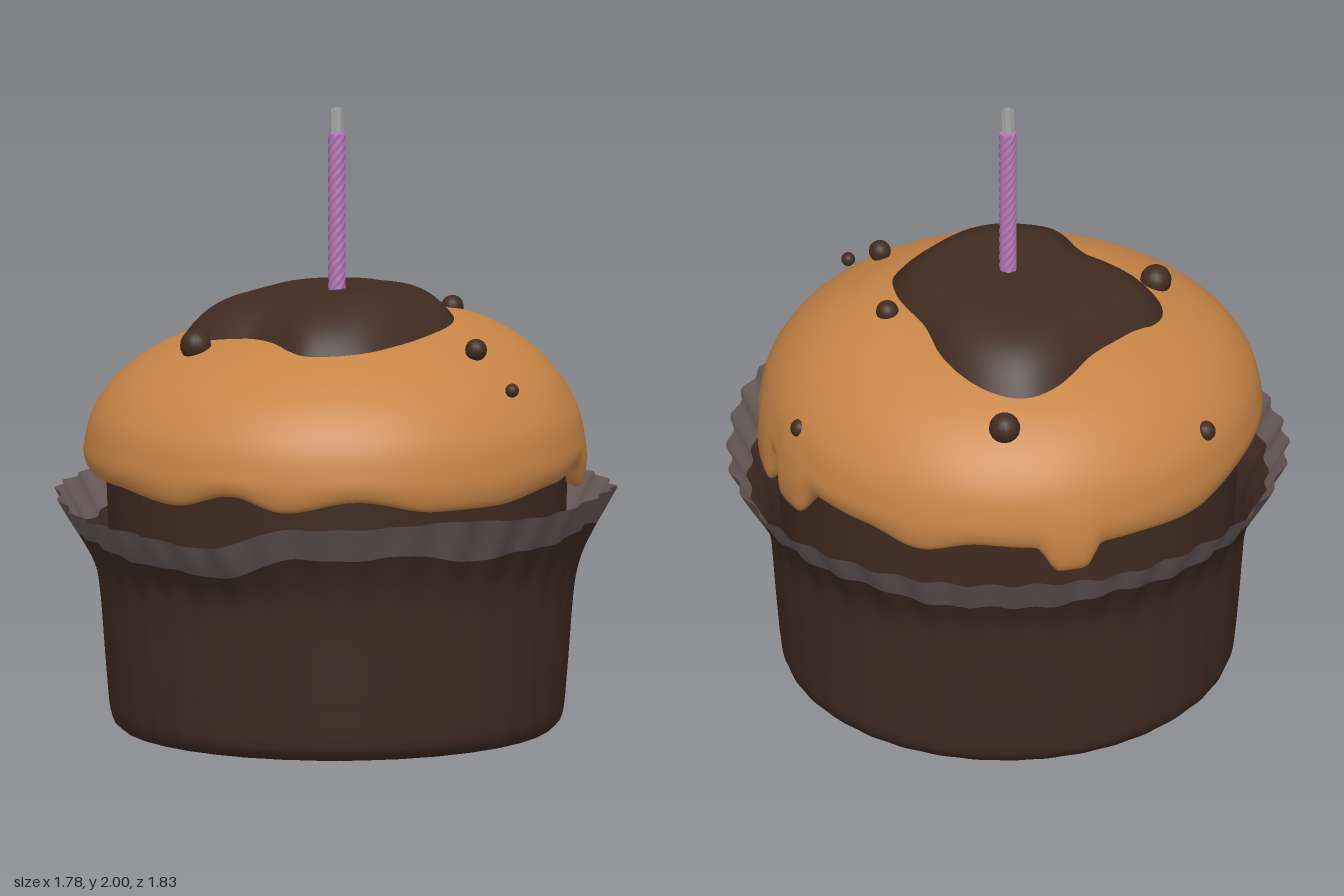
import * as THREE from 'three';

const { lerp, smoothstep, clamp } = THREE.MathUtils;

const mat = (name, color, side = THREE.FrontSide) => {
  const m = new THREE.MeshStandardMaterial({ color, side });
  m.name = name;
  return m;
};

// Linear lookup in a list of [key, value] pairs with ascending keys
function lookup(table, k) {
  if (k <= table[0][0]) return table[0][1];
  for (let i = 1; i < table.length; i++) {
    const [a, va] = table[i - 1], [b, vb] = table[i];
    if (k <= b) return va + (vb - va) * (k - a) / (b - a || 1);
  }
  return table[table.length - 1][1];
}

// Smoothly resample a short list of pairs
const smooth = (pts, n) =>
  new THREE.SplineCurve(pts.map(p => new THREE.Vector2(...p))).getPoints(n).map(p => [p.x, p.y]);

// Angle in degrees from -180 to 180
const degrees = a => ((a * 180 / Math.PI + 540) % 360) - 180;

// Eased lookup around the circle, keys in degrees
function around(table, a) {
  const d = degrees(a);
  for (let i = 1; i < table.length; i++) {
    const [p, vp] = table[i - 1], [q, vq] = table[i];
    if (d <= q) return vp + (vq - vp) * (0.5 - 0.5 * Math.cos(Math.PI * (d - p) / (q - p)));
  }
  return table[table.length - 1][1];
}

// Closed skin of rings, listed from the top (or centre) downwards; at(t, angle) gives [x, y, z]
function skin(rows, segs, at) {
  const pos = [], idx = [];
  for (let i = 0; i <= rows; i++)
    for (let j = 0; j < segs; j++) pos.push(...at(i / rows, j / segs * Math.PI * 2));
  for (let i = 0; i < rows; i++)
    for (let j = 0; j < segs; j++) {
      const k = (j + 1) % segs;
      const a = i * segs + j, b = i * segs + k, c = a + segs, d = b + segs;
      idx.push(a, b, c, b, d, c);
    }
  const g = new THREE.BufferGeometry();
  g.setAttribute('position', new THREE.Float32BufferAttribute(pos, 3));
  g.setIndex(idx);
  g.computeVertexNormals();
  return g;
}

const polar = (r, y, a) => [r * Math.cos(a), y, r * Math.sin(a)];

// Paper cup: radius by height, slightly oval, pleated and drooping at the rim
const cupWall = smooth([[0.02, 0.685], [0.06, 0.715], [0.2, 0.73], [0.45, 0.75], [0.56, 0.77],
  [0.64, 0.805], [0.7, 0.838], [0.79, 0.888]], 60);
const rimDroop = [[-180, 0.01], [-100, 0], [-25, 0.02], [0, -0.02], [35, -0.01], [60, -0.025],
  [88, -0.01], [108, 0.06], [130, 0.045], [180, 0.01]];
function cupPoint(y, a) {
  const flare = smoothstep(y, 0.45, 0.78);
  const depth = 0.0015 + 0.009 * flare;
  const r = lookup(cupWall, y) + depth * Math.sin(36 * a + 0.9 * Math.sin(3 * a));
  const [x, , z] = polar(r, y, a);
  return [x, y - flare * around(rimDroop, a), z * 1.025];
}
const rimTop = a => 0.782 + 0.004 * Math.sin(9 * a);
const rimBottom = a => 0.668 + 0.012 * Math.sin(5 * a + 1) + 0.008 * Math.sin(13 * a);

// Frosting: dome profile, uneven top and a lower edge with drips
const dome = smooth([[0, 1.31], [0.2, 1.315], [0.4, 1.292], [0.53, 1.245], [0.62, 1.195], [0.7, 1.125],
  [0.762, 1.03], [0.786, 0.93], [0.785, 0.87], [0.765, 0.83], [0.72, 0.845]], 50);
const domeTop = dome.filter(p => p[1] > 0.95);
const bulge = (x, z) => 0.045 * Math.exp(-((x - 0.42) ** 2 + (z + 0.2) ** 2) / 0.1);
const frostingY = (x, z) => lookup(domeTop, Math.hypot(x, z)) + bulge(x, z);
const frostingEdge = [[-180, 0.86], [-155, 0.82], [-138, 0.83], [-130, 0.83], [-125, 0.755], [-119, 0.755],
  [-113, 0.84], [-100, 0.85], [-85, 0.81], [-70, 0.85], [-55, 0.86], [-48, 0.765], [-41, 0.765], [-36, 0.89],
  [-31, 0.76], [-23, 0.76], [-17, 0.9], [-12, 0.795], [-5, 0.795], [1, 0.88], [15, 0.85], [40, 0.82],
  [55, 0.82], [75, 0.86], [92, 0.825], [105, 0.87], [120, 0.825], [140, 0.85], [180, 0.86]];

// Chocolate topping outline in plan, as [x, z]
const toppingOutline = [[-0.48, 0.13], [-0.48, 0.05], [-0.42, -0.07], [-0.35, -0.23], [-0.28, -0.42],
  [-0.2, -0.49], [-0.1, -0.5], [0, -0.47], [0.1, -0.4], [0.2, -0.27], [0.34, -0.12], [0.38, 0],
  [0.33, 0.17], [0.26, 0.3], [0.16, 0.41], [0, 0.46], [-0.07, 0.43], [-0.14, 0.35], [-0.22, 0.29],
  [-0.32, 0.26], [-0.43, 0.21]];

export function createModel() {
  const group = new THREE.Group();
  const chocolate = mat('chocolate', 0x402b21);
  const caramel = mat('caramel frosting', 0xc88546);
  const paper = mat('paper rim', 0x6a5c5a, THREE.DoubleSide);
  const cupPaper = mat('chocolate paper', 0x3f2b22, THREE.DoubleSide);
  const wax = mat('candle wax', 0xb676b8);
  const wickGrey = mat('wick grey', 0xa8a8a6, THREE.DoubleSide);
  const add = (name, geometry, material) => {
    const m = new THREE.Mesh(geometry, material);
    m.name = name;
    group.add(m);
    return m;
  };

  // Cup wall running round a soft edge into its base
  add('cup', skin(40, 216, (t, a) => {
    const [x, y, z] = cupPoint(lerp(rimBottom(a), 0.02, Math.min(1, t / 0.8)), a);
    const s = Math.min(1, (1 - t) / 0.2);
    return [x * s, y - 0.02 * Math.min(1, (1 - s) * 6), z * s];
  }), cupPaper);

  // Pleated rim
  add('cupRim', skin(8, 216, (t, a) => cupPoint(lerp(rimTop(a), rimBottom(a), t), a)), paper);

  // Sponge between cup and frosting
  const cake = add('cake', new THREE.CylinderGeometry(0.735, 0.72, 0.42, 72), chocolate);
  cake.position.y = 0.71;

  // Frosting dome with drips
  add('frosting', skin(50, 240, (t, a) => {
    let [r, y] = dome[Math.round(t * 50)];
    const edge = around(frostingEdge, a);
    const low = clamp((1.0 - y) / 0.15, 0, 1);
    if (y < 0.95) y = 0.95 - (0.95 - y) * (0.95 - edge) / 0.12;
    r += low * 0.2 * Math.max(0, 0.83 - edge);
    r *= 1 + 0.04 * smoothstep(r, 0.4, 0.78) * Math.max(0, Math.cos(a - Math.PI * 0.75)) ** 4;
    const p = polar(r, y, a);
    p[1] += bulge(p[0], p[2]) * (1 - low);
    return p;
  }), caramel);

  // Chocolate topping, thick in the middle and tucked into the frosting at its edge
  const cx = -0.04;
  const outline = toppingOutline.map(([x, z]) =>
    [Math.atan2(z, x - cx) * 180 / Math.PI, Math.hypot(x - cx, z)]).sort((p, q) => p[0] - q[0]);
  const last = outline[outline.length - 1], first = outline[0];
  outline.unshift([last[0] - 360, last[1]]);
  outline.push([first[0] + 360, first[1]]);
  const outlineCurve = smooth(outline, 160);
  add('chocolateTopping', skin(20, 120, (t, a) => {
    const r = lookup(outlineCurve, degrees(a)) * t * 1.02;
    const x = cx + r * Math.cos(a), z = r * Math.sin(a);
    const hump = 0.03 * Math.exp(-((x - 0.18) ** 2 + (z - 0.18) ** 2) / 0.03);
    return [x, frostingY(x, z) - 0.015 + (0.115 + hump) * (1 - t ** 5), z];
  }), chocolate);

  // Chocolate chips: x, y, z, radius
  const chips = [[-0.4, 1.275, 0.3, 0.05], [-0.17, 1.2, -0.6, 0.05], [0.33, 1.335, -0.23, 0.036],
    [0.49, 1.275, 0.22, 0.035], [0.625, 1.165, 0.32, 0.022], [0.53, 1.04, -0.53, 0.03], [-0.715, 1.055, -0.2, 0.033]];
  for (const [x, y, z, r] of chips)
    add('chocolateChip', new THREE.SphereGeometry(r, 16, 12), chocolate).position.set(x, y, z);

  // Twisted candle with a flat top
  add('candle', skin(150, 36, (t, a) => {
    const y = 1.92 - 0.52 * t;
    return polar(0.0265 + 0.0018 * Math.sin(6 * a + y * 200), y, a);
  }), wax);
  const top = add('candleTop', new THREE.CircleGeometry(0.026, 24), wax);
  top.rotation.x = -Math.PI / 2;
  top.position.y = 1.92;

  // Hollow fluted wick
  add('wick', skin(1, 32, (t, a) =>
    polar(0.021 + 0.0015 * Math.cos(8 * a), 2 - 0.075 * t, a)), wickGrey);

  return group;
}
